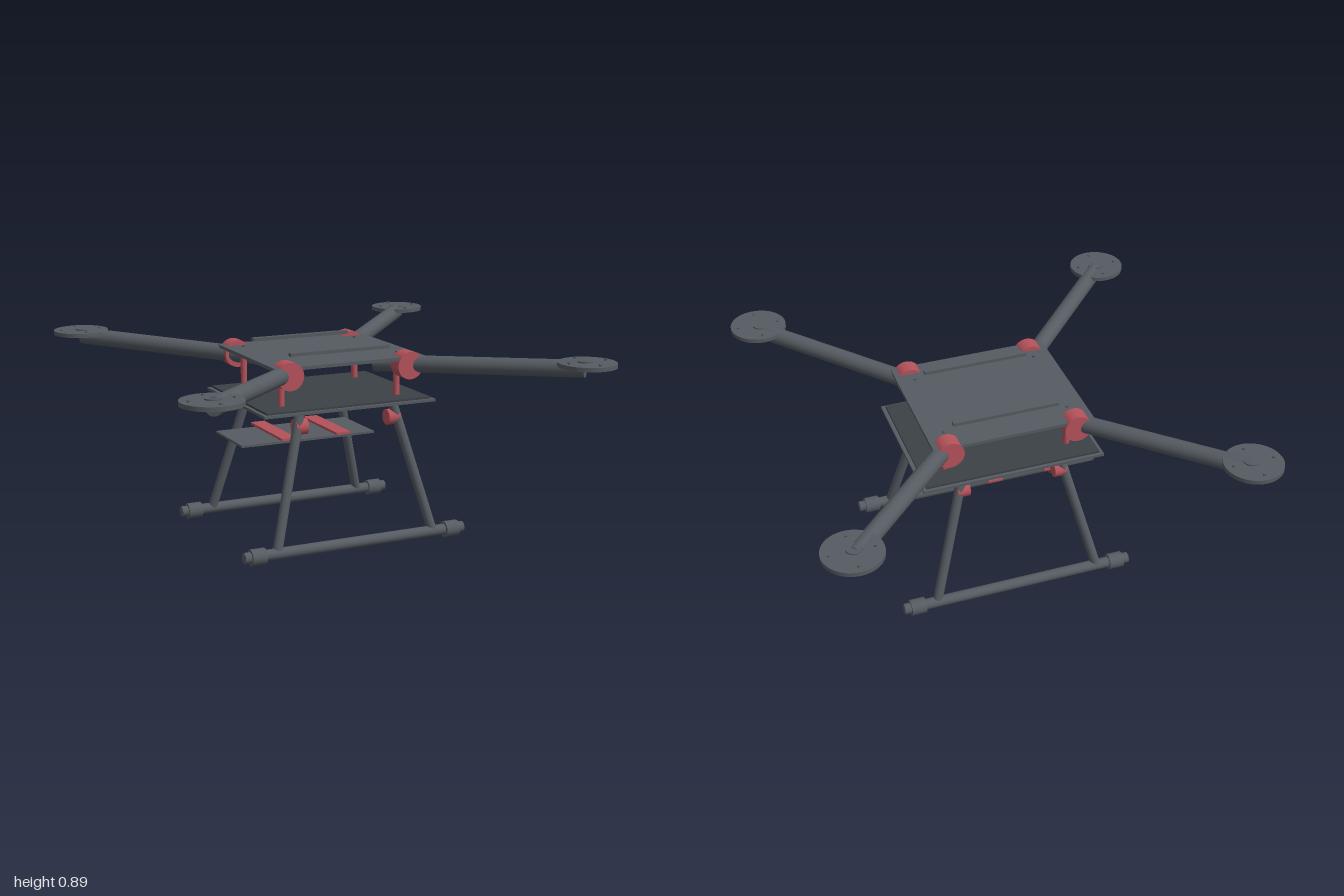
import * as THREE from 'three';

const dark = new THREE.MeshStandardMaterial({ color: 0x555b61 });
const darker = new THREE.MeshStandardMaterial({ color: 0x3c4146 });
const red = new THREE.MeshStandardMaterial({ color: 0xb5525a });
const UP = new THREE.Vector3(0, 1, 0);

function box(parent, name, size, pos, mat = dark) {
  const m = new THREE.Mesh(new THREE.BoxGeometry(...size), mat);
  m.position.set(...pos);
  m.name = name;
  parent.add(m);
}

// Round bar between two points
function rod(parent, name, a, b, r, mat = dark, sides = 32) {
  const p = new THREE.Vector3(...a), q = new THREE.Vector3(...b);
  const d = q.clone().sub(p);
  const m = new THREE.Mesh(new THREE.CylinderGeometry(r, r, d.length(), sides), mat);
  m.position.copy(p).add(q).multiplyScalar(0.5);
  m.quaternion.setFromUnitVectors(UP, d.normalize());
  m.name = name;
  parent.add(m);
}

export function createModel() {
  const model = new THREE.Group();
  model.name = 'quadcopterFrame';

  // Body plates
  box(model, 'upperPlate', [0.74, 0.015, 0.66], [0, 0.843, 0]);
  box(model, 'lowerPlate', [0.845, 0.012, 0.68], [0, 0.641, 0]);
  box(model, 'lowerPlateInset', [0.81, 0.01, 0.65], [0, 0.651, 0], darker);

  // Hanging battery tray with its cross bars
  box(model, 'tray', [0.66, 0.01, 0.31], [-0.125, 0.474, 0]);
  box(model, 'trayUnderside', [0.55, 0.008, 0.25], [-0.125, 0.464, 0]);
  for (const x of [-0.235, 0.036]) {
    box(model, 'trayBar', [0.07, 0.011, 0.36], [x, 0.491, 0], red);
  }

  for (const sz of [-1, 1]) {
    // Top rail and landing skid run along x on each side
    box(model, 'topRail', [0.49, 0.015, 0.026], [0, 0.882, sz * 0.21]);
    rod(model, 'skid', [-0.548, 0.038, sz * 0.39], [0.548, 0.038, sz * 0.39], 0.025);

    for (const sx of [-1, 1]) {
      const corner = new THREE.Group();
      corner.name = 'corner';
      model.add(corner);
      const at = (x, y, z) => [sx * x, y, sz * z];

      // Arm with its clamp
      rod(corner, 'arm', at(0.2, 0.802, 0.168), at(0.862, 0.843, 0.866), 0.039);
      rod(corner, 'armClamp', at(0.295, 0.81, 0.262), at(0.295, 0.81, 0.336), 0.063, red);

      // Motor mount
      rod(corner, 'motorDisc', at(0.87, 0.853, 0.87), at(0.87, 0.872, 0.87), 0.13, dark, 48);
      rod(corner, 'motorBoss', at(0.862, 0.872, 0.862), at(0.862, 0.878, 0.862), 0.035);
      for (let i = 0; i < 4; i++) {
        const a = i * Math.PI / 2;
        const x = 0.87 + 0.095 * Math.cos(a), z = 0.87 + 0.095 * Math.sin(a);
        rod(corner, 'motorScrew', at(x, 0.85, z), at(x, 0.879, z), 0.007, dark, 12);
      }

      // Post between the plates, with a screw through it
      rod(corner, 'post', at(0.288, 0.65, 0.213), at(0.288, 0.838, 0.213), 0.015, red, 24);
      rod(corner, 'postScrew', at(0.288, 0.623, 0.213), at(0.288, 0.858, 0.213), 0.008, dark, 12);

      // Landing leg with its hinge and skid collar
      rod(corner, 'leg', at(0.232, 0.633, 0.285), at(0.388, 0.045, 0.388), 0.022);
      rod(corner, 'legHinge', at(0.2, 0.572, 0.282), at(0.258, 0.572, 0.282), 0.036, red);
      rod(corner, 'skidCollar', at(0.45, 0.037, 0.39), at(0.518, 0.037, 0.39), 0.037);
    }
  }
  return model;
}
